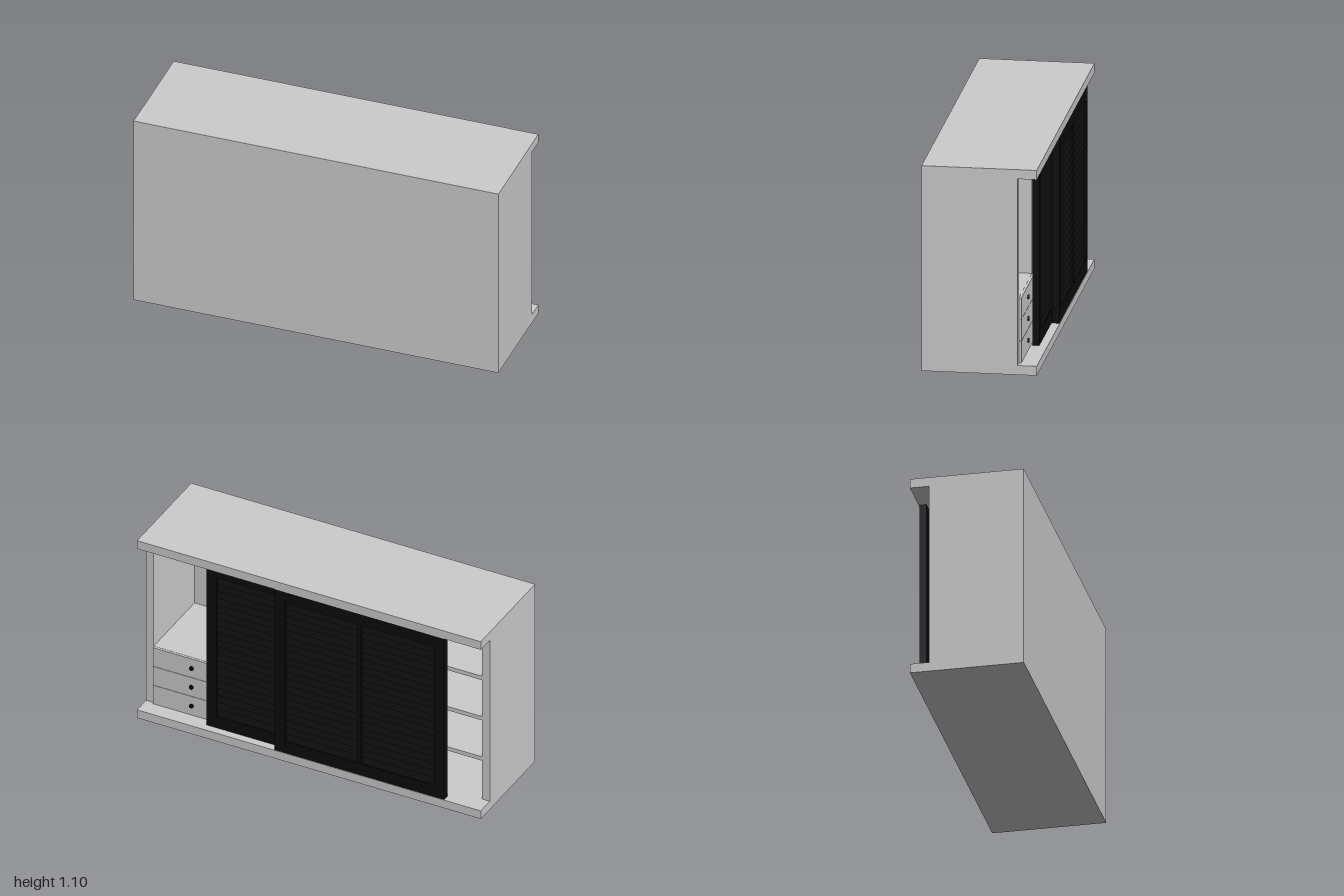
import * as THREE from 'three';

const grey = new THREE.MeshStandardMaterial({ color: 0xcccccc });
const black = new THREE.MeshStandardMaterial({ color: 0x0c0c0c });

// Box given by its min and max corners
function box(parent, name, [x0, y0, z0], [x1, y1, z1], material = grey) {
  const mesh = new THREE.Mesh(new THREE.BoxGeometry(x1 - x0, y1 - y0, z1 - z0), material);
  mesh.position.set((x0 + x1) / 2, (y0 + y1) / 2, (z0 + z1) / 2);
  mesh.name = name;
  parent.add(mesh);
  return mesh;
}

// Louvred sliding door: stiles, rails, thin centre mullion and tilted slats
function louvreDoor(name, x0, x1, z0, z1) {
  const door = new THREE.Group();
  door.name = name;
  const bottom = 0.05, top = 1.05, stile = 0.06, rail = 0.07;
  const mid = (x0 + x1) / 2, half = 0.01;
  box(door, 'stile', [x0, bottom, z0], [x0 + stile, top, z1], black);
  box(door, 'stile', [x1 - stile, bottom, z0], [x1, top, z1], black);
  box(door, 'bottomRail', [x0 + stile, bottom, z0], [x1 - stile, bottom + rail, z1], black);
  box(door, 'topRail', [x0 + stile, top - rail, z0], [x1 - stile, top, z1], black);
  box(door, 'mullion', [mid - half, bottom + rail, z0], [mid + half, top - rail, z1], black);

  const count = 20, pitch = (top - bottom - 2 * rail) / count;
  const panels = [[x0 + stile, mid - half], [mid + half, x1 - stile]];
  for (const [a, b] of panels) {
    for (let i = 0; i < count; i++) {
      const slat = new THREE.Mesh(new THREE.BoxGeometry(b - a, 0.048, 0.006), black);
      slat.position.set((a + b) / 2, bottom + rail + (i + 0.5) * pitch, (z0 + z1) / 2);
      slat.rotation.x = 0.4;
      slat.name = 'slat';
      door.add(slat);
    }
  }
  return door;
}

export function createModel() {
  const model = new THREE.Group();
  model.name = 'wardrobe';

  // Carcass: the top and base overhang the sides to hold the doors
  const carcass = new THREE.Group();
  carcass.name = 'carcass';
  model.add(carcass);
  box(carcass, 'base', [-1, 0, -0.3], [1, 0.05, 0.3]);
  box(carcass, 'top', [-1, 1.05, -0.3], [1, 1.1, 0.3]);
  box(carcass, 'closedPanel', [-0.955, 0.05, 0.25], [0.955, 1.05, 0.3]);
  for (const s of [-1, 1]) {
    const side = box(carcass, 'side', [0.955, 0.05, -0.2], [1, 1.05, 0.3]);
    side.position.x *= s;
    const divider = box(carcass, 'divider', [0.46, 0.05, -0.2], [0.5, 1.05, 0.25]);
    divider.position.x *= s;
  }

  // Shelves in one end bay
  for (const y of [0.3, 0.55, 0.8]) {
    box(model, 'shelf', [-0.955, y - 0.012, -0.2], [-0.5, y + 0.012, 0.25]);
  }

  // Drawer unit with fronts and knobs in the other end bay
  const drawers = new THREE.Group();
  drawers.name = 'drawers';
  model.add(drawers);
  box(drawers, 'drawerUnit', [0.5, 0.05, -0.2], [0.955, 0.4, 0.25]);
  for (let i = 0; i < 3; i++) {
    const h = 0.35 / 3, y = 0.05 + i * h;
    box(drawers, 'drawerFront', [0.502, y + 0.001, -0.213], [0.953, y + h - 0.001, -0.2]);
    const knob = new THREE.Mesh(new THREE.CylinderGeometry(0.012, 0.012, 0.008, 20), black);
    knob.rotation.x = Math.PI / 2;
    knob.position.set(0.728, y + h / 2, -0.217);
    knob.name = 'knob';
    drawers.add(knob);
  }

  // Hanging rail above the drawers
  const rod = new THREE.Mesh(new THREE.CylinderGeometry(0.012, 0.012, 0.455, 20), black);
  rod.rotation.z = Math.PI / 2;
  rod.position.set(0.7275, 0.97, 0.09);
  rod.name = 'hangingRail';
  model.add(rod);

  // Two overlapping sliding doors
  model.add(louvreDoor('innerDoor', -0.365, 0.62, -0.256, -0.221));
  model.add(louvreDoor('outerDoor', -0.785, 0.2, -0.297, -0.259));
  return model;
}
